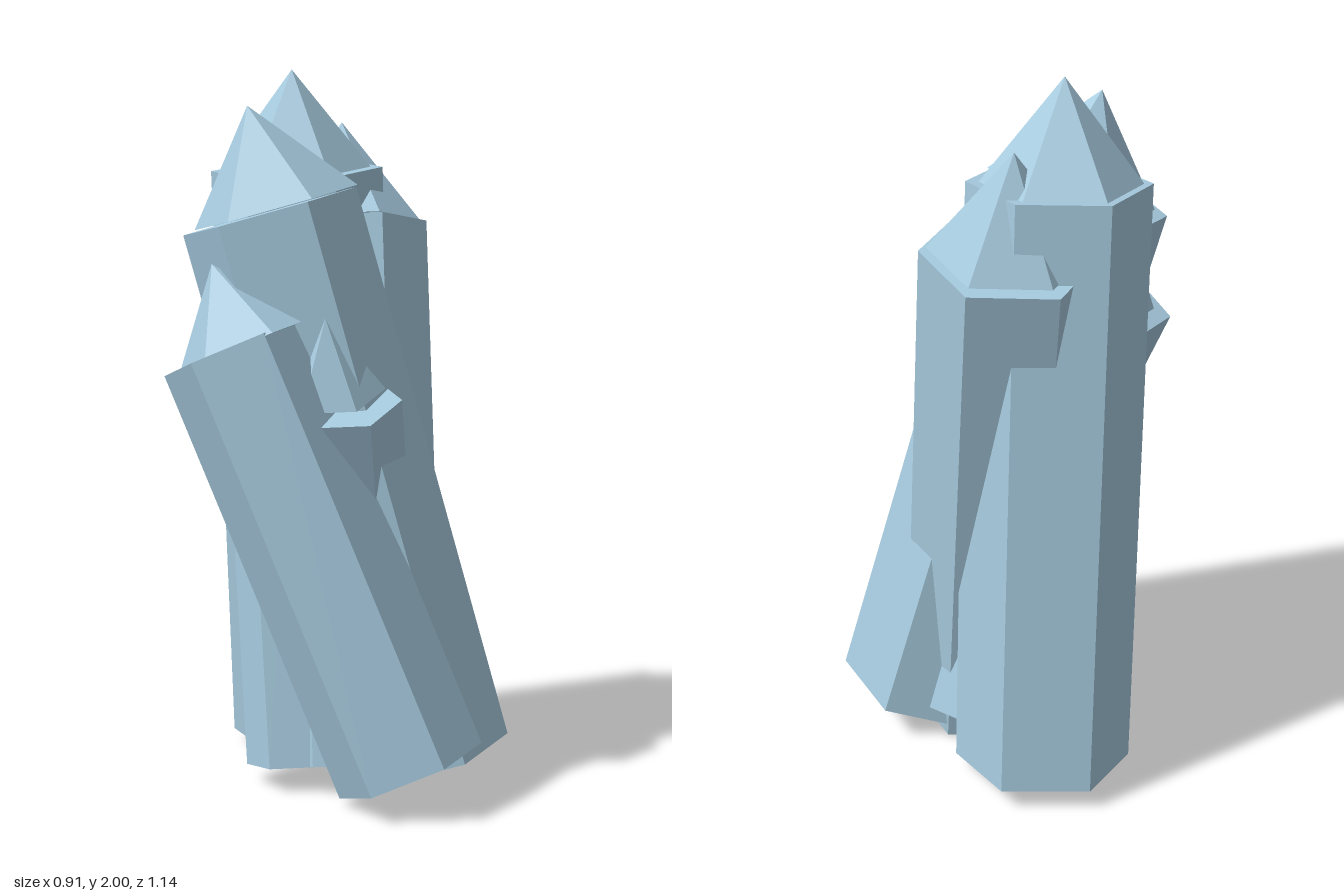
import * as THREE from 'three';

const crystalMat = new THREE.MeshStandardMaterial({ color: 0xa6cade, flatShading: true });
crystalMat.name = 'paleBlueCrystal';

const UP = new THREE.Vector3(0, 1, 0);

// Six-sided shaft between two points, with a slightly narrower pointed cap ending at tip
function crystal(name, { foot, shoulder, tip, radius, capRadius, capHeight }) {
  const a = new THREE.Vector3(...foot);
  const b = new THREE.Vector3(...shoulder);
  const axis = b.clone().sub(a);
  const length = axis.length();
  axis.normalize();
  const group = new THREE.Group();
  group.name = name;

  const shaft = new THREE.Mesh(new THREE.CylinderGeometry(radius, radius, length, 6), crystalMat);
  shaft.name = name + 'Shaft';
  shaft.position.copy(a).lerp(b, 0.5);
  shaft.quaternion.setFromUnitVectors(UP, axis);

  const cap = new THREE.Mesh(new THREE.ConeGeometry(capRadius, capHeight, 6), crystalMat);
  cap.name = name + 'Cap';
  cap.position.set(...tip).addScaledVector(axis, -capHeight / 2);
  cap.quaternion.copy(shaft.quaternion);

  group.add(shaft, cap);
  return group;
}

const CRYSTALS = {
  // tallest, at the back
  backCrystal: {
    foot: [0.14, 0.045, -0.33], shoulder: [0.03, 1.72, -0.23], tip: [0.01, 2.0, -0.22],
    radius: 0.245, capRadius: 0.215, capHeight: 0.28,
  },
  // leans across the front
  frontCrystal: {
    foot: [0.24, 0.07, 0.15], shoulder: [-0.125, 1.61, -0.085], tip: [-0.18, 1.9, -0.11],
    radius: 0.25, capRadius: 0.235, capHeight: 0.29,
  },
  // shorter, leaning to the side
  leaningCrystal: {
    foot: [0.085, 0.1, 0.36], shoulder: [-0.28, 1.25, 0.02], tip: [-0.33, 1.475, -0.02],
    radius: 0.21, capRadius: 0.195, capHeight: 0.24,
  },
  // upright one beside the back crystal
  sideCrystal: {
    foot: [0.09, 0.05, 0.05], shoulder: [0.185, 1.56, -0.24], tip: [0.2, 1.85, -0.28],
    radius: 0.24, capRadius: 0.215, capHeight: 0.29,
  },
  // small one breaking out of the front face
  smallFrontCrystal: {
    foot: [0.2, 0.1, -0.12], shoulder: [-0.03, 1.1, 0.17], tip: [-0.09, 1.335, 0.19],
    radius: 0.165, capRadius: 0.15, capHeight: 0.22,
  },
  // slim one mostly hidden in the middle
  innerCrystal: {
    foot: [-0.085, 0.06, 0.02], shoulder: [-0.07, 1.3, -0.17], tip: [-0.07, 1.5, -0.2],
    radius: 0.15, capRadius: 0.13, capHeight: 0.2,
  },
};

export function createModel() {
  const model = new THREE.Group();
  model.name = 'crystalCluster';
  for (const [name, spec] of Object.entries(CRYSTALS)) model.add(crystal(name, spec));
  return model;
}
